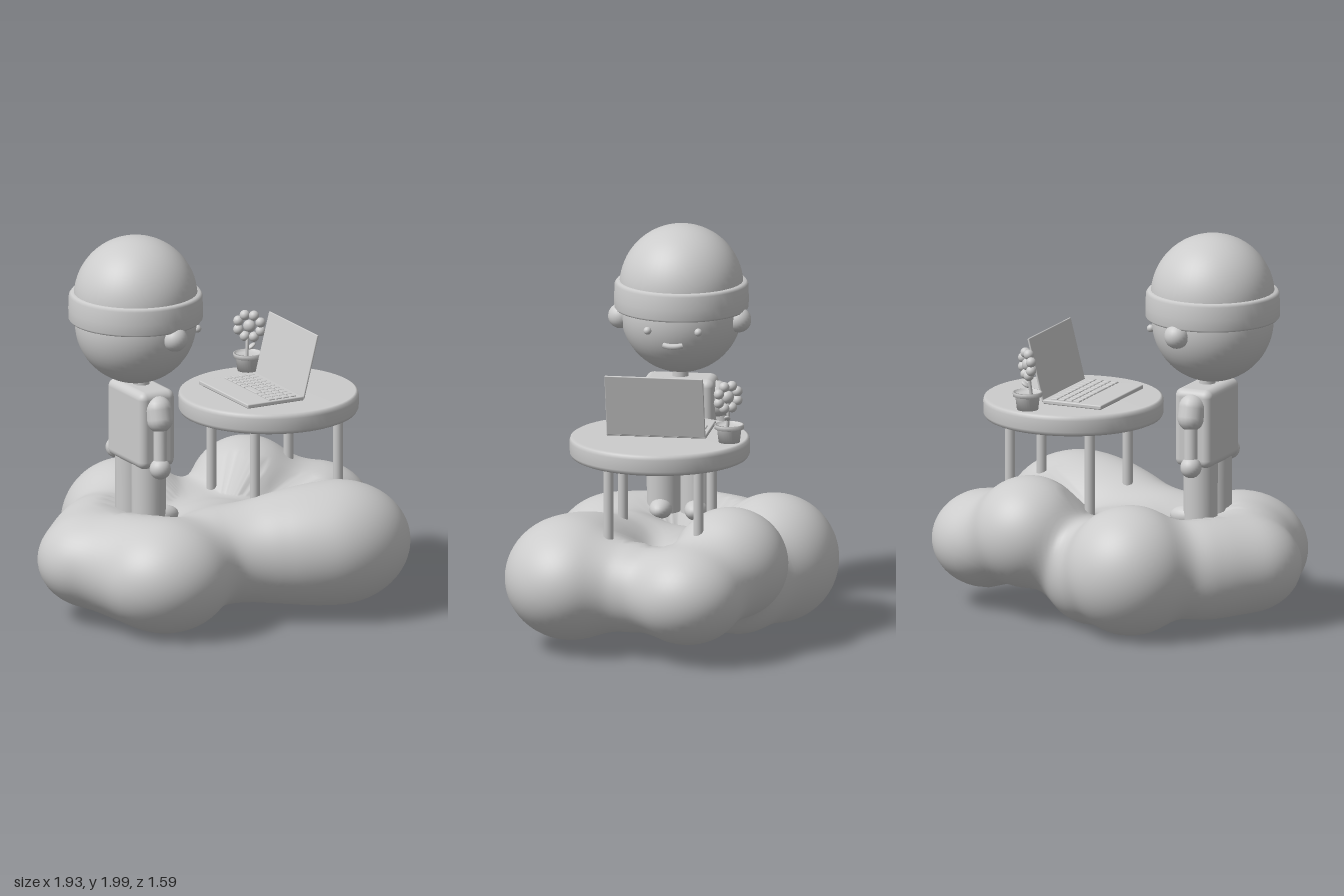
import * as THREE from 'three';
import { mergeVertices } from 'three/addons/utils/BufferGeometryUtils.js';
import { RoundedBoxGeometry } from 'three/addons/geometries/RoundedBoxGeometry.js';

const material = new THREE.MeshStandardMaterial({ color: 0xcccccc });
const V = (x, y, z) => new THREE.Vector3(x, y, z);

function add(parent, name, geometry, x = 0, y = 0, z = 0) {
  const mesh = new THREE.Mesh(geometry, material);
  mesh.name = name;
  mesh.position.set(x, y, z);
  parent.add(mesh);
  return mesh;
}

function group(parent, name, x = 0, y = 0, z = 0) {
  const g = new THREE.Group();
  g.name = name;
  g.position.set(x, y, z);
  parent.add(g);
  return g;
}

const ball = (r) => new THREE.SphereGeometry(r, 24, 16);
const lathe = (points, segments = 48) =>
  new THREE.LatheGeometry(points.map(([r, y]) => new THREE.Vector2(r, y)), segments);

// Capsule or cylinder running between two points
function limb(parent, name, a, b, r, round) {
  const length = a.distanceTo(b);
  const geometry = round ? new THREE.CapsuleGeometry(r, length, 6, 16) : new THREE.CylinderGeometry(r, r, length, 16);
  const mesh = add(parent, name, geometry, ...a.clone().lerp(b, 0.5).toArray());
  mesh.quaternion.setFromUnitVectors(V(0, 1, 0), b.clone().sub(a).normalize());
  return mesh;
}

// Cloud: a sphere shrunk onto softly blended puffs
function cloudGeometry() {
  const puffs = [ // centre, radii
    [V(-0.25, 0.34, -0.47), V(0.33, 0.33, 0.33)],
    [V(0.37, 0.45, -0.34), V(0.29, 0.285, 0.295)],
    [V(0.68, 0.35, -0.17), V(0.285, 0.25, 0.29)],
    [V(0.45, 0.37, 0.455), V(0.39, 0.315, 0.34)],
    [V(-0.48, 0.30, 0.36), V(0.345, 0.29, 0.33)],
    [V(-0.67, 0.32, -0.02), V(0.30, 0.25, 0.29)],
    // fillers between neighbouring puffs
    [V(0.0, 0.295, 0.0), V(0.4, 0.235, 0.36)],
    [V(-0.08, 0.34, 0.28), V(0.3, 0.24, 0.25)],
    [V(0.2, 0.36, 0.38), V(0.3, 0.27, 0.27)],
    [V(0.58, 0.36, 0.13), V(0.2, 0.22, 0.22)],
    [V(-0.57, 0.31, 0.17), V(0.23, 0.24, 0.22)],
    [V(-0.54, 0.32, -0.23), V(0.24, 0.25, 0.23)],
    [V(0.03, 0.26, -0.33), V(0.23, 0.25, 0.25)],
  ];
  const blend = 0.12;
  const distance = (p) => puffs.reduce((d, [c, r]) => {
    const e = (p.clone().sub(c).divide(r).length() - 1) * Math.min(r.x, r.y, r.z);
    const h = Math.max(blend - Math.abs(d - e), 0) / blend;
    return Math.min(d, e) - h * h * blend * 0.25;
  }, 10);
  const centre = V(0, 0.33, 0);
  let geometry = new THREE.IcosahedronGeometry(1, 32);
  geometry.deleteAttribute('uv');
  geometry.deleteAttribute('normal');
  geometry = mergeVertices(geometry, 1e-5);
  const position = geometry.attributes.position;
  for (let i = 0; i < position.count; i++) {
    const dir = new THREE.Vector3().fromBufferAttribute(position, i).normalize();
    let t = 1.4;
    for (let step = 0; step < 80; step++) {
      const d = distance(centre.clone().addScaledVector(dir, t));
      t -= d * 0.9;
      if (Math.abs(d) < 0.0005) break;
    }
    const p = centre.clone().addScaledVector(dir, t);
    position.setXYZ(i, p.x, Math.max(p.y, 0), p.z);
  }
  geometry.computeVertexNormals();
  return geometry;
}

// Standing figure, looking toward +x
function buildFigure(parent) {
  const figure = group(parent, 'figure', 0, 0, 0.038);
  add(figure, 'torso', new RoundedBoxGeometry(0.205, 0.405, 0.37, 4, 0.04), -0.443, 1.022, 0);
  add(figure, 'neck', new THREE.CylinderGeometry(0.042, 0.042, 0.1, 20), -0.443, 1.235, 0);

  const head = group(figure, 'head', -0.475, 1.55, 0);
  add(head, 'skull', new THREE.SphereGeometry(0.308, 48, 32));
  add(head, 'hatDome', new THREE.SphereGeometry(0.314, 48, 20, 0, Math.PI * 2, 0, Math.PI / 2), 0, 0.136, 0);
  add(head, 'hatBand', lathe([[0.295, 0.018], [0.332, 0.018], [0.34, 0.028], [0.341, 0.08],
    [0.338, 0.148], [0.328, 0.162], [0.3, 0.164]]));
  const smile = new THREE.QuadraticBezierCurve3(V(0.285, -0.112, -0.048), V(0.302, -0.124, 0), V(0.285, -0.112, 0.048));
  add(head, 'mouth', new THREE.TubeGeometry(smile, 12, 0.015, 10));

  for (const s of [1, -1]) {
    add(head, 'ear', ball(0.064), 0.06, -0.02, s * 0.302);
    add(head, 'eye', ball(0.02), 0.285, -0.04, s * 0.13);

    limb(figure, 'sleeve', V(-0.445, 1.135, s * 0.185), V(-0.445, 1.085, s * 0.198), 0.068, true);
    limb(figure, 'forearm', V(-0.447, 1.07, s * 0.205), V(-0.458, 0.85, s * 0.228), 0.034, false);
    add(figure, 'hand', ball(0.054), -0.46, 0.835, s * 0.23);

    add(figure, 'leg', new THREE.CylinderGeometry(0.088, 0.086, 0.32, 24), -0.447, 0.68, s * 0.086);
    add(figure, 'shoe', ball(0.058), -0.375, 0.545, s * 0.09).scale.set(1.6, 0.9, 1);
  }
}

function buildTable(parent) {
  const table = group(parent, 'table', 0.298, 0, 0.03);
  add(table, 'tableTop', lathe([[0, 0.975], [0.43, 0.975], [0.446, 0.982], [0.456, 1.0],
    [0.457, 1.06], [0.452, 1.078], [0.44, 1.085], [0, 1.085]], 64));
  for (const [x, z] of [[-0.2, 0.22], [0.28, 0.22], [-0.2, -0.235], [0.245, -0.235]])
    add(table, 'tableLeg', new THREE.CylinderGeometry(0.026, 0.026, 0.46, 16), x, 0.75, z);
}

function buildLaptop(parent) {
  const laptop = group(parent, 'laptop', 0, 1.085, 0.04);
  add(laptop, 'laptopBase', new RoundedBoxGeometry(0.325, 0.022, 0.512, 2, 0.006), 0.193, 0.014, 0);
  const screen = add(laptop, 'laptopScreen', new RoundedBoxGeometry(0.01, 0.332, 0.505, 2, 0.004), 0.398, 0.172, 0);
  screen.rotation.z = -0.25;
  // Keys in four rows, with a wide key in the nearest row
  for (let row = 0; row < 4; row++)
    for (let i = 0; i < 11; i++) {
      if (row === 0 && i > 4 && i < 8) continue;
      add(laptop, 'key', new RoundedBoxGeometry(0.037, 0.012, 0.039, 1, 0.005),
        0.18 + row * 0.041, 0.026, -0.215 + i * 0.0435);
    }
  add(laptop, 'spaceKey', new RoundedBoxGeometry(0.037, 0.012, 0.125, 1, 0.005), 0.18, 0.026, 0.046);
}

function buildPlant(parent) {
  const plant = group(parent, 'pottedFlower', 0.383, 1.085, -0.338);
  add(plant, 'pot', lathe([[0, 0], [0.054, 0], [0.062, 0.067], [0.074, 0.069], [0.076, 0.09],
    [0.066, 0.092], [0.064, 0.075], [0, 0.075]], 28));
  limb(plant, 'stem', V(-0.015, 0.07, 0.012), V(0, 0.22, 0), 0.009, false);
  const flower = group(plant, 'flower', 0.005, 0.232, 0.005);
  flower.rotation.y = -Math.PI / 4;
  add(flower, 'flowerCentre', ball(0.032)).scale.z = 0.8;
  for (let i = 0; i < 8; i++) {
    const a = (i + 0.5) * Math.PI / 4;
    add(flower, 'petal', ball(0.026), Math.cos(a) * 0.063, Math.sin(a) * 0.06, 0);
  }
  const leaf = add(plant, 'leaf', ball(0.02), 0.016, 0.125, 0.008);
  leaf.scale.set(1.2, 0.5, 0.8);
  leaf.rotation.z = 0.6;
}

export function createModel() {
  const model = new THREE.Group();
  model.name = 'cloudDesk';
  add(model, 'cloud', cloudGeometry());
  buildFigure(model);
  buildTable(model);
  buildLaptop(model);
  buildPlant(model);
  return model;
}
